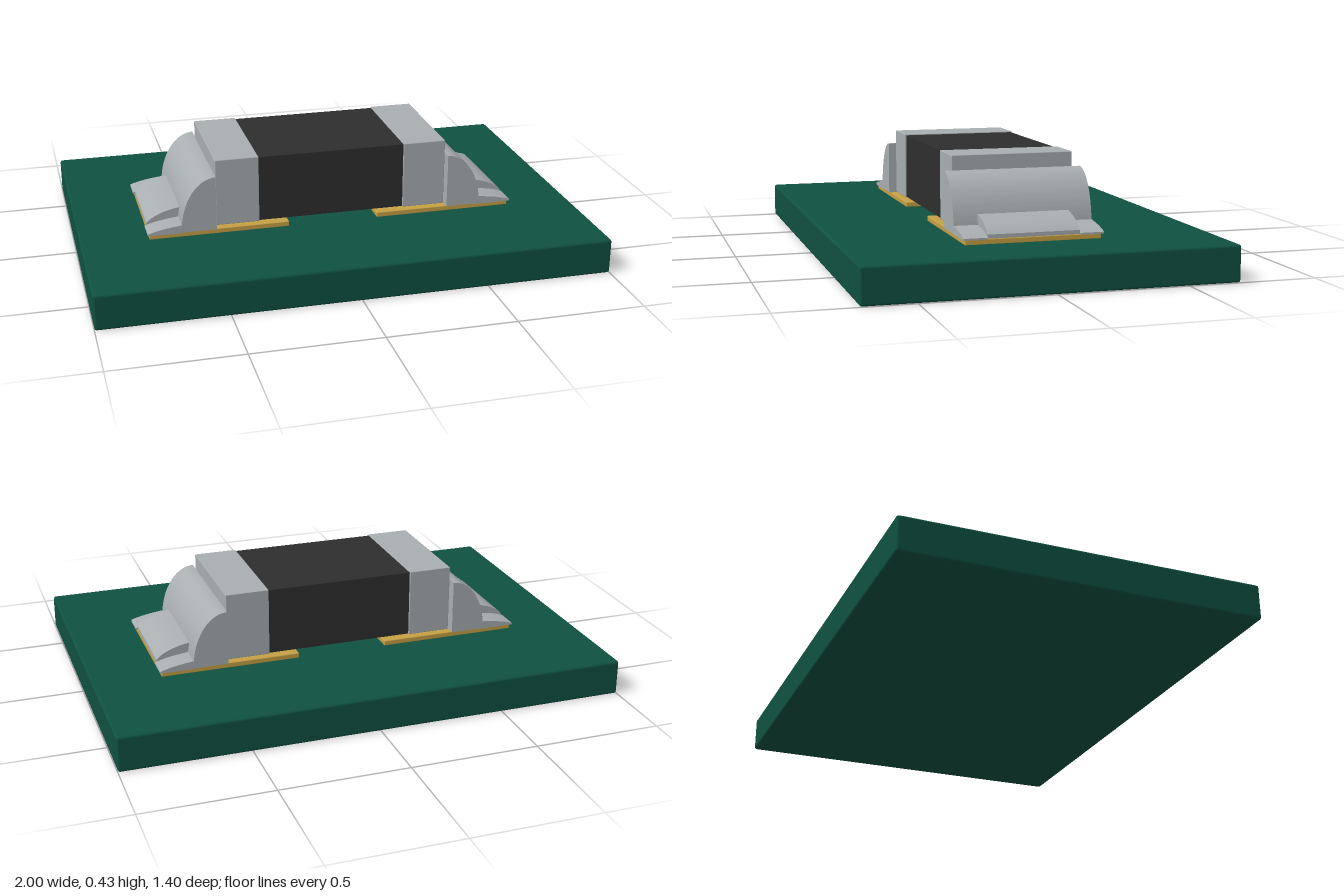
import * as THREE from 'three';
import { toCreasedNormals } from 'three/addons/utils/BufferGeometryUtils.js';
import { RoundedBoxGeometry } from 'three/addons/geometries/RoundedBoxGeometry.js';

function material(name, color) {
  const m = new THREE.MeshStandardMaterial({ color });
  m.name = name;
  return m;
}

export function createModel() {
  const green = material('boardGreen', 0x0f5141);
  const black = material('bodyBlack', 0x2e2e2e);
  const silver = material('solderSilver', 0xa9aeb1);
  const gold = material('padGold', 0xc6a145);
  const model = new THREE.Group();
  model.name = 'surfaceMountComponent';

  function add(parent, name, geometry, mat) {
    const mesh = new THREE.Mesh(geometry, mat);
    mesh.name = name;
    parent.add(mesh);
    return mesh;
  }

  // Box given by its limits, centred on z
  function box(parent, name, mat, x0, x1, y0, y1, depth, radius = 0) {
    const size = [x1 - x0, y1 - y0, depth];
    const geometry = radius
      ? new RoundedBoxGeometry(...size, 2, radius)
      : new THREE.BoxGeometry(...size);
    add(parent, name, geometry, mat).position.set((x0 + x1) / 2, (y0 + y1) / 2, 0);
  }

  // Side profile swept across z, smooth along its curve
  function sweep(parent, name, shape, z0, z1) {
    const geometry = new THREE.ExtrudeGeometry(shape, {
      depth: z1 - z0, bevelEnabled: false, curveSegments: 20,
    });
    add(parent, name, toCreasedNormals(geometry, 0.5), silver).position.z = z0;
  }

  box(model, 'circuitBoard', green, -1, 1, 0, 0.14, 1.404, 0.01);
  box(model, 'componentBody', black, -0.297, 0.297, 0.165, 0.43, 0.466);

  // Main solder fillet: a convex quarter ellipse
  const fillet = new THREE.Shape();
  fillet.moveTo(0.472, 0.16);
  fillet.lineTo(0.61, 0.16);
  fillet.absellipse(0.472, 0.16, 0.138, 0.217, 0, Math.PI / 2, false);
  fillet.closePath();

  // Raised middle of the solder toe
  const toe = new THREE.Shape();
  toe.moveTo(0.59, 0.16);
  toe.lineTo(0.735, 0.16);
  toe.lineTo(0.735, 0.175);
  toe.bezierCurveTo(0.715, 0.197, 0.67, 0.222, 0.59, 0.231);
  toe.closePath();

  // Low solder film on both sides of the toe
  const film = new THREE.Shape();
  film.moveTo(0.59, 0.158);
  film.lineTo(0.742, 0.158);
  film.lineTo(0.742, 0.165);
  film.quadraticCurveTo(0.69, 0.184, 0.59, 0.192);
  film.closePath();

  // The two matching ends
  for (const side of [1, -1]) {
    const end = new THREE.Group();
    end.name = side > 0 ? 'leftEnd' : 'rightEnd';
    box(end, 'pad', gold, 0.18, 0.735, 0.138, 0.16, 0.524, 0.004);
    box(end, 'endCap', silver, 0.295, 0.468, 0.163, 0.434, 0.478, 0.003);
    sweep(end, 'solderFillet', fillet, -0.27, 0.27);
    sweep(end, 'solderToe', toe, -0.177, 0.177);
    sweep(end, 'solderFilm', film, -0.27, -0.177);
    sweep(end, 'solderFilm', film, 0.177, 0.27);
    if (side < 0) end.rotation.y = Math.PI;
    model.add(end);
  }
  return model;
}
